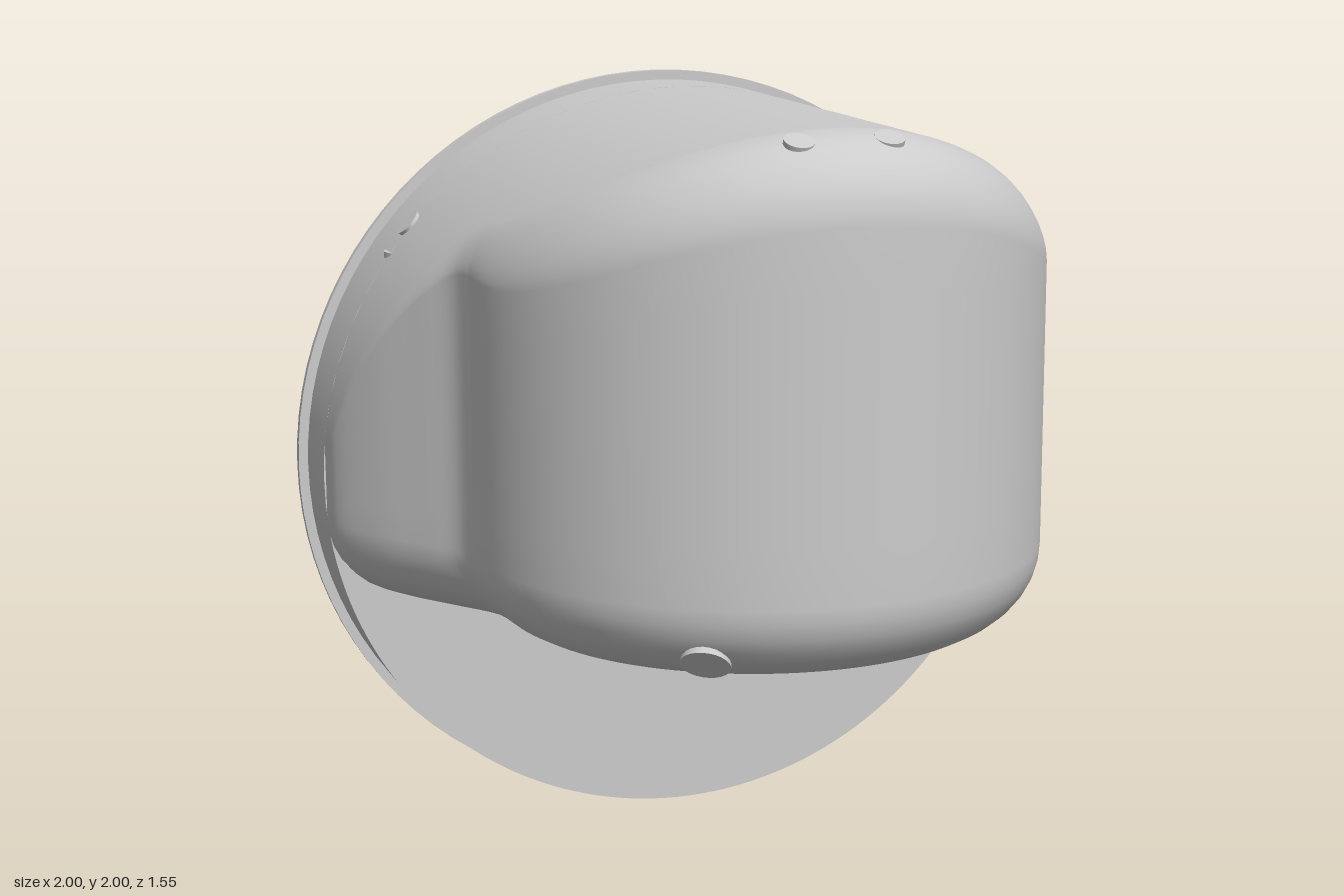
import * as THREE from 'three';
import { mergeVertices, toCreasedNormals } from 'three/addons/utils/BufferGeometryUtils.js';

const R = 0.975;   // radius of the round base and of the arched roof
const FLOOR = 0.7; // underside of the hood
const FIL = 0.2;   // edge rounding
const BACK = -0.48; // where hood meets base

export function createModel() {
  const group = new THREE.Group();
  const mat = new THREE.MeshStandardMaterial({ color: 0xcccccc, side: THREE.DoubleSide });

  const add = (name, geo, x = 0, y = 0, z = 0) => {
    const m = new THREE.Mesh(geo, mat);
    m.name = name;
    m.position.set(x, y, z);
    group.add(m);
    return m;
  };
  // Extrude a shape along z between two depths
  const slab = (shape, z0, z1) => {
    const g = new THREE.ExtrudeGeometry(shape, { depth: z1 - z0, bevelEnabled: false, curveSegments: 48 });
    g.translate(0, 0, z0);
    return toCreasedNormals(g, 0.5);
  };
  const circle = (r, x = 0, y = 0) => new THREE.Path().absarc(x, y, r, 0, Math.PI * 2, true);
  const disc = (r, hole) => {
    const s = new THREE.Shape().absarc(0, 0, r, 0, Math.PI * 2, false);
    if (hole) s.holes.push(circle(hole));
    return s;
  };

  // Plan outline of the hood, +x half, from the base to the front middle
  const flare = new THREE.CatmullRomCurve3([
    [0.97, BACK], [0.963, -0.4], [0.895, -0.26], [0.80, -0.12], [0.74, -0.03], [0.72, 0.055],
  ].map(([x, z]) => new THREE.Vector3(x, 0, z)));
  const plan = [];
  for (let i = 0; i < 24; i++) {
    const u = i / 24, p = flare.getPoint(u), t = flare.getTangent(u);
    plan.push({ x: p.x, z: p.z, nx: i ? -t.z : -1, nz: i ? t.x : 0, f: 0.3 * u });
  }
  for (let i = 0; i <= 28; i++) {
    const a = (i / 28) * Math.PI / 2, c = Math.cos(a), s = Math.sin(a);
    plan.push({ x: 0.72 * c, z: 0.055 + 0.72 * s, nx: -c, nz: -s, f: 0.3 + 0.7 * s });
  }

  // Cross-sections: rounded bottom edge, wall, rounded top edge, arched roof, mirrored
  const roof = x => 1 + Math.sqrt(Math.max(0, R * R - x * x));
  const section = p => {
    const half = [];
    const inset = (d, y) => half.push([p.x + p.nx * d, y, p.z + p.nz * d]);
    for (let k = 0; k <= 8; k++) {
      const a = (k / 8) * Math.PI / 2;
      inset(FIL * (1 - Math.sin(a)), FLOOR + FIL * (1 - Math.cos(a)));
    }
    const r = FIL * p.f, topY = roof(p.x) - r;
    for (let k = 1; k < 6; k++) inset(0, FLOOR + FIL + (topY - FLOOR - FIL) * k / 6);
    for (let k = 0; k <= 8; k++) {
      const a = (k / 8) * Math.PI / 2, d = r * (1 - Math.cos(a));
      inset(d, roof(p.x + p.nx * d) - r * (1 - Math.sin(a)));
    }
    const [ex, , ez] = half[half.length - 1];
    for (let k = 1; k <= 16; k++) {
      const x = ex * Math.cos((k / 16) * Math.PI / 2);
      half.push([x, roof(x), ez]);
    }
    const left = half.map(([x, y, z]) => [-x, y, z]);
    return left.concat(half.slice(0, -1).reverse());
  };
  const rows = plan.map(section), n = rows[0].length, index = [];
  for (let i = 0; i < rows.length - 1; i++) {
    for (let j = 0; j < n - 1; j++) {
      const a = i * n + j, b = a + n;
      index.push(a, b, a + 1, b, b + 1, a + 1);
    }
  }
  let hood = new THREE.BufferGeometry();
  hood.setAttribute('position', new THREE.Float32BufferAttribute(rows.flat(2), 3));
  hood.setIndex(index);
  hood = mergeVertices(hood, 1e-5);
  hood.computeVertexNormals();
  add('hood', hood);

  // Flat underside with the round lens opening
  const edge = plan.map(p => new THREE.Vector2(p.x + p.nx * FIL, -(p.z + p.nz * FIL)));
  const under = new THREE.Shape(edge.concat(edge.slice(0, -1).reverse().map(v => new THREE.Vector2(-v.x, v.y))));
  under.holes.push(circle(0.36, 0, -0.05));
  const underGeo = new THREE.ShapeGeometry(under, 48);
  underGeo.rotateX(Math.PI / 2).scale(1, 1, -1);
  add('hoodUnderside', underGeo, 0, FLOOR, 0);

  // Lens trim ring, deep cup and window
  const lathe = pts => toCreasedNormals(new THREE.LatheGeometry(pts.map(p => new THREE.Vector2(...p)), 64), 0.5);
  add('lensRing', lathe([[0.31, 0.72], [0.31, 0.685], [0.40, 0.685], [0.405, 0.7]]), 0, 0, 0.05);
  add('lensCup', lathe([[0.36, 0.7], [0.36, 1.47], [0.34, 1.47], [0.34, 0.7]]), 0, 0, 0.05);
  add('lensWindow', new THREE.CylinderGeometry(0.34, 0.34, 0.02, 48), 0, 0.75, 0.05);

  // Round base: side wall, back flange and front plate below the hood
  add('baseWall', slab(disc(R, 0.955), BACK, -0.69), 0, 1, 0);
  add('baseFlange', slab(disc(1, 0.955), -0.695, -0.675), 0, 1, 0);
  const a0 = Math.asin(-0.1 / R);
  const plate = new THREE.Shape();
  plate.absarc(0, 0, R, a0, Math.PI - a0, true);
  plate.absarc(-0.77, -0.1, FIL, Math.PI, Math.PI * 1.5, false);
  plate.absarc(0.77, -0.1, FIL, Math.PI * 1.5, Math.PI * 2, false);
  add('basePlate', slab(plate, BACK - 0.02, BACK), 0, 1, 0);

  // Mount drum, its recessed floor and the stepped rings at the back
  add('mountDrum', slab(disc(0.43, 0.36), -0.69, -0.38), 0, 1, 0);
  add('drumCap', slab(disc(0.425), -0.40, -0.381), 0, 1, 0);
  add('drumFloor', slab(disc(0.365, 0.045), -0.56, -0.54), 0, 1, 0);
  add('mountPlate', slab(disc(0.6, 0.36), -0.71, -0.67), 0, 1, 0);
  add('innerRing', slab(disc(0.42, 0.35), -0.75, -0.70), 0, 1, 0);
  for (const side of [0, Math.PI]) {
    const half = new THREE.Shape();
    half.absarc(0, 0, 0.51, -Math.PI / 2 + 0.012, Math.PI / 2 - 0.012, false);
    half.absarc(0, 0, 0.42, Math.PI / 2 - 0.014, -Math.PI / 2 + 0.014, true);
    add('splitRing', slab(half, -0.78, -0.71), 0, 1, 0).rotation.z = side;
  }

  // Four diagonal mounting ears with screw holes
  const ear = new THREE.Shape();
  ear.moveTo(0.55, -0.08);
  ear.lineTo(0.75, -0.07);
  ear.quadraticCurveTo(0.78, -0.07, 0.78, -0.04);
  ear.lineTo(0.78, 0.04);
  ear.quadraticCurveTo(0.78, 0.07, 0.75, 0.07);
  ear.lineTo(0.55, 0.08);
  ear.closePath();
  ear.holes.push(circle(0.045, 0.7, 0));
  for (let k = 0; k < 4; k++) {
    add('mountEar', slab(ear, -0.708, -0.66), 0, 1, 0).rotation.z = Math.PI / 4 + k * Math.PI / 2;
  }

  // Screw posts and shelves inside, and screw seats on the outside
  const up = new THREE.Vector3(0, 1, 0);
  const seat = (name, x, y, z, normal, r) => {
    const m = add(name, new THREE.CylinderGeometry(r, r, 0.016, 24), x, y, z);
    m.quaternion.setFromUnitVectors(up, new THREE.Vector3(...normal).normalize());
  };
  for (const s of [-1, 1]) {
    add('screwPost', new THREE.CylinderGeometry(0.05, 0.05, 0.72, 24), s * 0.73, 1.2, -0.5);
    add('screwHead', new THREE.CylinderGeometry(0.065, 0.065, 0.1, 24), s * 0.73, 1.53, -0.5);
    add('postShelf', new THREE.BoxGeometry(0.3, 0.02, 0.16), s * 0.77, 1.3, -0.54);
    seat('sideScrewSeat', s * 0.728, 1.648, -0.5, [s * 0.73, 0.65, 0], 0.036);
    seat('frontScrewSeat', s * 0.11, 1.951, 0.64, [0, 0.93, 0.37], 0.036);
  }
  seat('lowerFrontSeat', -0.33, 0.76, 0.627, [-0.355, -0.7, 0.62], 0.06);

  // Slotted bracket beside the lens cup
  const bracket = new THREE.Shape([[-0.2, -0.15], [0.2, -0.15], [0.2, 0.15], [-0.2, 0.15]].map(p => new THREE.Vector2(...p)));
  for (const x of [-0.12, 0, 0.12]) {
    bracket.holes.push(new THREE.Path([[x - 0.03, -0.08], [x - 0.03, 0.06], [x + 0.03, 0.09], [x + 0.03, -0.05]].map(p => new THREE.Vector2(...p))));
  }
  add('slottedBracket', slab(bracket, -0.01, 0.01), -0.45, 0.9, -0.2).rotation.y = -0.6;

  // Small inner fittings: cup bolt, bottom catch with its rod and rib
  add('cupBolt', new THREE.CylinderGeometry(0.04, 0.04, 0.1, 16).rotateX(Math.PI / 2), 0, 1.5, -0.34);
  add('cupBoltTab', new THREE.BoxGeometry(0.05, 0.2, 0.03), 0, 1.42, -0.31);
  add('bottomCatch', new THREE.BoxGeometry(0.1, 0.12, 0.12), 0, 0.13, -0.58);
  add('catchRib', new THREE.BoxGeometry(0.03, 0.42, 0.03), 0, 0.38, -0.51);
  add('catchRod', new THREE.CylinderGeometry(0.025, 0.025, 0.3, 16).rotateZ(Math.PI / 2), -0.17, 0.12, -0.58);
  return group;
}
